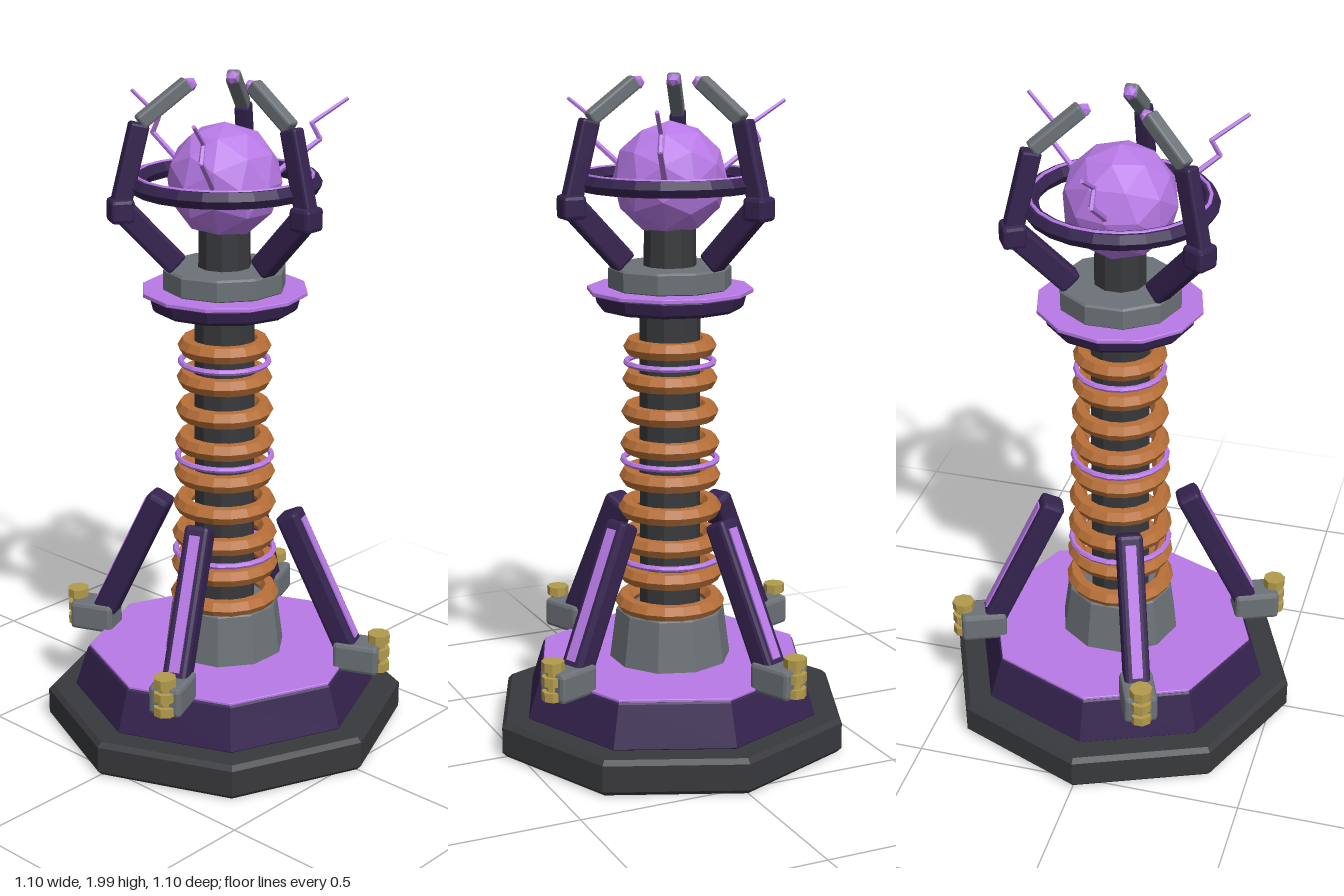
import * as THREE from 'three';
import { RoundedBoxGeometry } from 'three/addons/geometries/RoundedBoxGeometry.js';

const mat = (color) => new THREE.MeshStandardMaterial({ color, flatShading: true });
const M = {
  dark: mat(0x38393c),
  steel: mat(0x6c7277),
  plum: mat(0x35234f),
  glow: mat(0xb87ae6),
  copper: mat(0xb87038),
  brass: mat(0xb39a4c),
};

function add(parent, name, geometry, material, x = 0, y = 0, z = 0) {
  const mesh = new THREE.Mesh(geometry, material);
  mesh.name = name;
  mesh.position.set(x, y, z);
  parent.add(mesh);
  return mesh;
}

// Upright drum between two heights, with chamfered rims
function drum(parent, name, material, sides, y0, y1, r0, r1, c = 0.004) {
  const profile = [[0, y0], [r0 - c, y0], [r0, y0 + c], [r1, y1 - c], [r1 - c, y1], [0, y1]];
  const points = profile.map(([x, y]) => new THREE.Vector2(x, y));
  return add(parent, name, new THREE.LatheGeometry(points, sides), material);
}

// Horizontal ring
function ring(parent, name, material, y, radius, tube, sides, segments) {
  const mesh = add(parent, name, new THREE.TorusGeometry(radius, tube, sides, segments), material, 0, y, 0);
  mesh.rotation.x = Math.PI / 2;
  return mesh;
}

// Chamfered bar between two points of the local xy plane
function beam(parent, name, material, [ax, ay], [bx, by], depth, width) {
  const length = Math.hypot(bx - ax, by - ay);
  const bevel = Math.min(depth, width) * 0.18;
  const geometry = new RoundedBoxGeometry(depth, length, width, 1, bevel);
  const mesh = add(parent, name, geometry, material, (ax + bx) / 2, (ay + by) / 2, 0);
  mesh.rotation.z = Math.atan2(by - ay, bx - ax) - Math.PI / 2;
  return mesh;
}

// Repeats a part built along +x around the vertical axis
function around(parent, name, count, startDegrees, build) {
  for (let i = 0; i < count; i++) {
    const part = new THREE.Group();
    part.name = name + (i + 1);
    part.rotation.y = THREE.MathUtils.degToRad(startDegrees + (i * 360) / count);
    build(part);
    parent.add(part);
  }
}

function buildLeg(leg) {
  add(leg, 'foot', new RoundedBoxGeometry(0.14, 0.09, 0.1, 1, 0.012), M.steel, 0.433, 0.275, 0);
  const strut = beam(leg, 'strut', M.plum, [0.402, 0.29], [0.203, 0.705], 0.072, 0.078);
  add(strut, 'strutLight', new THREE.BoxGeometry(0.012, 0.4, 0.032), M.glow, 0.035, 0, 0);
  // Stacked insulator discs on a pin
  add(leg, 'insulatorPin', new THREE.CylinderGeometry(0.02, 0.02, 0.11, 8), M.brass, 0.494, 0.295, 0);
  for (const y of [0.25, 0.295, 0.34]) {
    add(leg, 'insulatorDisc', new THREE.CylinderGeometry(0.034, 0.034, 0.027, 8), M.brass, 0.494, y, 0);
  }
}

function buildClaw(claw) {
  beam(claw, 'lowerArm', M.plum, [0.145, 1.46], [0.308, 1.635], 0.07, 0.058);
  add(claw, 'elbow', new RoundedBoxGeometry(0.07, 0.07, 0.074, 1, 0.012), M.plum, 0.308, 1.63, 0);
  beam(claw, 'upperArm', M.plum, [0.312, 1.63], [0.25, 1.875], 0.056, 0.046);
  beam(claw, 'finger', M.steel, [0.25, 1.875], [0.108, 1.98], 0.043, 0.04);
  add(claw, 'fingerTip', new THREE.IcosahedronGeometry(0.021, 0), M.glow, 0.102, 1.975, 0);
}

// Zigzag spark that thins toward its end
function buildSpark(spark) {
  const path = [[0.14, 1.695], [0.185, 1.73], [0.288, 1.8], [0.262, 1.848], [0.37, 1.913]];
  for (let i = 0; i < path.length - 1; i++) {
    const [ax, ay] = path[i];
    const [bx, by] = path[i + 1];
    const length = Math.hypot(bx - ax, by - ay) + 0.006;
    const r = 0.01 - i * 0.001;
    const geometry = new THREE.CylinderGeometry(r - 0.001, r, length, 5);
    const piece = add(spark, 'sparkPiece', geometry, M.glow, (ax + bx) / 2, (ay + by) / 2, 0);
    piece.rotation.z = Math.atan2(by - ay, bx - ax) - Math.PI / 2;
  }
}

export function createModel() {
  const model = new THREE.Group();
  model.name = 'energyCoilTower';

  // Stepped octagonal base
  drum(model, 'baseSlab', M.dark, 8, 0, 0.107, 0.548, 0.548, 0.014);
  drum(model, 'baseTier', M.plum, 8, 0.105, 0.237, 0.463, 0.424, 0.005);
  drum(model, 'baseGlowPlate', M.glow, 8, 0.232, 0.245, 0.418, 0.418, 0.002);
  drum(model, 'columnSocket', M.steel, 10, 0.24, 0.4, 0.184, 0.164);

  // Column with a tapering stack of coils
  drum(model, 'column', M.dark, 10, 0.38, 1.34, 0.092, 0.09);
  for (let i = 0; i < 9; i++) {
    ring(model, 'copperCoil', M.copper, 0.418 + i * 0.0985, 0.139 - i * 0.0034, 0.027, 6, 18);
  }
  [[0.56, 0.15], [0.862, 0.141], [1.158, 0.13]].forEach(([y, r]) => {
    ring(model, 'glowCoil', M.glow, y, r, 0.009, 6, 20);
  });

  // Head platform
  drum(model, 'headPlate', M.plum, 12, 1.32, 1.372, 0.217, 0.225, 0.01);
  drum(model, 'headGlowPlate', M.glow, 12, 1.368, 1.381, 0.246, 0.246, 0.002);
  drum(model, 'headCollar', M.steel, 10, 1.378, 1.445, 0.182, 0.182, 0.006);
  drum(model, 'neck', M.dark, 10, 1.44, 1.57, 0.078, 0.076);

  // Energy orb and its halo
  add(model, 'orb', new THREE.IcosahedronGeometry(0.168, 1), M.glow, 0, 1.697, 0);
  ring(model, 'halo', M.plum, 1.693, 0.255, 0.027, 6, 24);
  ring(model, 'haloLight', M.glow, 1.714, 0.255, 0.007, 6, 24);

  around(model, 'leg', 4, 22.5, buildLeg);
  around(model, 'claw', 3, 0, buildClaw);
  around(model, 'spark', 3, 60, buildSpark);
  return model;
}
